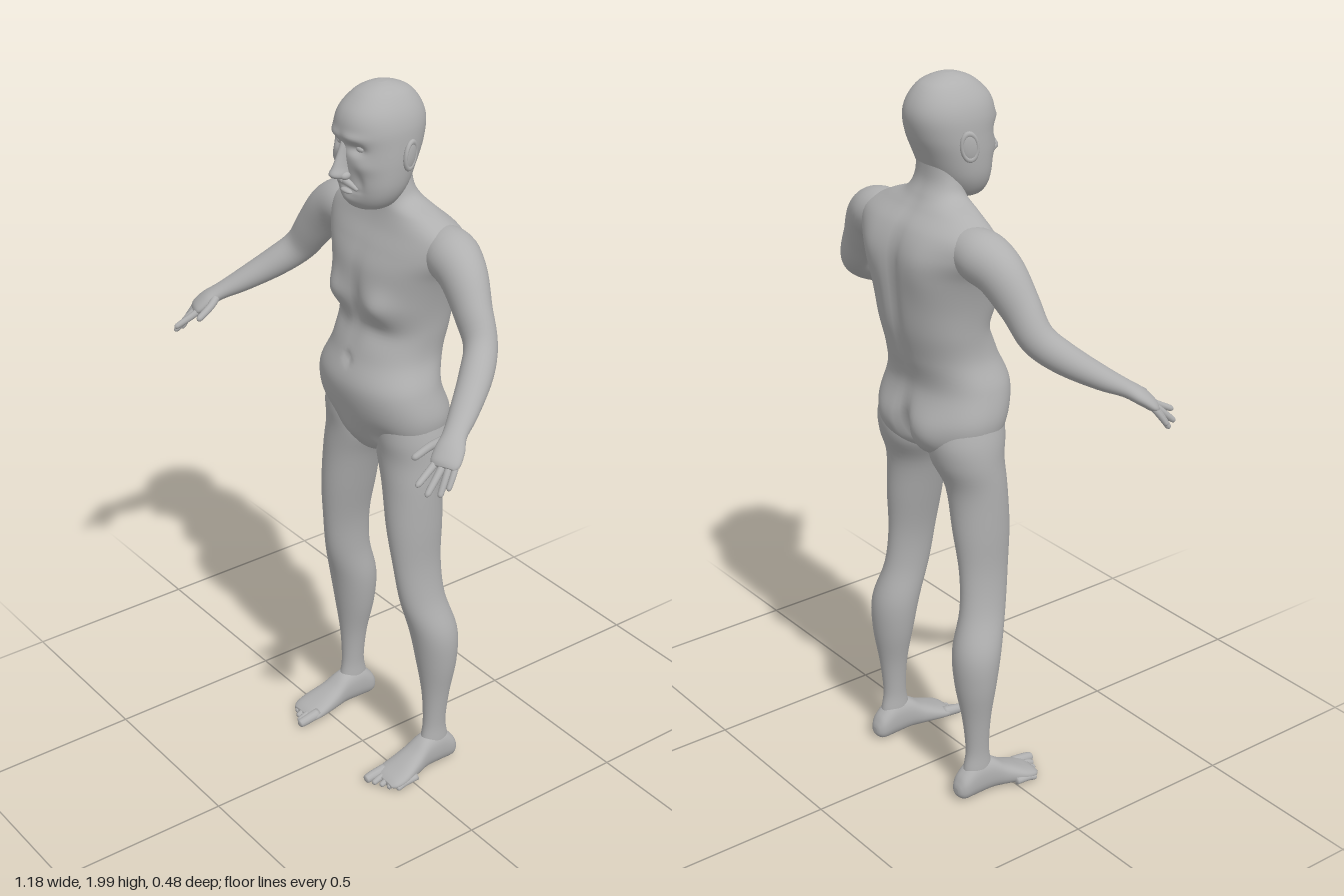
import * as THREE from 'three';

const skin = new THREE.MeshStandardMaterial({ color: 0xb0b0b0 });
skin.name = 'skin';

// Smooth interpolation through rows of numbers
function sample(rows, steps) {
  const out = [];
  const at = i => rows[Math.max(0, Math.min(rows.length - 1, i))];
  for (let k = 0; k <= (rows.length - 1) * steps; k++) {
    const i = Math.floor(k / steps), t = (k % steps) / steps;
    const [a, b, c, d] = [at(i - 1), at(i), at(i + 1), at(i + 2)];
    out.push(b.map((v, n) => v + 0.5 * t * (c[n] - a[n] + t * (2 * a[n] - 5 * v + 4 * c[n] - d[n]
      + t * (3 * (v - c[n]) + d[n] - a[n])))));
  }
  return out;
}

// Closed surface over rings of points, capped by a centre point at both ends
function surface(rings) {
  const n = rings[0].length;
  const cap = ring => {
    const c = ring.reduce((s, p) => s.add(p), new THREE.Vector3()).divideScalar(n);
    return ring.map(() => c);
  };
  const all = [cap(rings[0]), ...rings, cap(rings[rings.length - 1])];
  const index = [];
  for (let i = 0; i < all.length - 1; i++) for (let j = 0; j < n; j++) {
    const a = i * n + j, b = a + n, c = (i + 1) * n + (j + 1) % n, d = i * n + (j + 1) % n;
    if (i < all.length - 2) index.push(a, b, c);
    if (i > 0) index.push(a, c, d);
  }
  const g = new THREE.BufferGeometry().setFromPoints(all.flat());
  g.setIndex(index);
  g.computeVertexNormals();
  return g;
}

const power = (v, e) => Math.sign(v) * Math.abs(v) ** e;

// Sections [position, centre x, half width, high side, low side], along y (rising) or z (falling)
function loft(rows, { n = 32, steps = 5, e = 1, axis = 'y', shape = [] } = {}) {
  return surface(sample(rows, steps).map(([t, cx, w, hi, lo]) =>
    Array.from({ length: n }, (_, j) => {
      const a = j / n * Math.PI * 2, mid = (hi + lo) / 2;
      const x = cx + w * power(Math.cos(a), e), q = mid + (hi - lo) / 2 * power(Math.sin(a), e);
      if (axis === 'z') return new THREE.Vector3(x, q, t);
      // Soft relief: [x, y, spread x, spread y, height, front or back]
      let z = q;
      for (const [bx, by, sx, sy, h, side] of shape) {
        const facing = THREE.MathUtils.smoothstep((q - mid) * side, 0, 0.05);
        z += side * h * facing * Math.exp(-(((Math.abs(x) - bx) / sx) ** 2) - ((t - by) / sy) ** 2);
      }
      return new THREE.Vector3(x, t, z);
    })));
}

// Limb along points [x, y, z, half width, half thickness]
function limb(rows, n = 24, steps = 5) {
  const pts = sample(rows, steps), up = new THREE.Vector3(0, 1, 0);
  const pos = pts.map(p => new THREE.Vector3(p[0], p[1], p[2]));
  return surface(pts.map((p, i) => {
    const t = pos[Math.min(i + 1, pos.length - 1)].clone().sub(pos[Math.max(i - 1, 0)]).normalize();
    const u = t.clone().cross(up).normalize(), v = u.clone().cross(t);
    return Array.from({ length: n }, (_, j) => {
      const a = j / n * Math.PI * 2;
      return pos[i].clone().addScaledVector(u, p[3] * Math.cos(a)).addScaledVector(v, p[4] * Math.sin(a));
    });
  }));
}

// Finger or toe with a rounded tip
function digit(a, b, c, r) {
  const tip = (f, s) => [...b.map((v, i) => v + (c[i] - v) * f), r * s, r * s];
  return limb([[...a, r * 1.1, r * 1.1], [...b, r, r], tip(0.75, 0.88), tip(0.93, 0.65), tip(1, 0.2)], 12, 4);
}

function ball(x, y, z, rx, ry, rz) {
  return new THREE.SphereGeometry(1, 24, 16).scale(rx, ry, rz).translate(x, y, z);
}

function mirrored(geometry) {
  const g = geometry.clone().scale(-1, 1, 1), ix = g.index;
  for (let i = 0; i < ix.count; i += 3) {
    const b = ix.getX(i + 1);
    ix.setX(i + 1, ix.getX(i + 2));
    ix.setX(i + 2, b);
  }
  return g;
}

export function createModel() {
  const model = new THREE.Group();
  model.name = 'standingMan';
  const add = (name, g) => {
    const mesh = new THREE.Mesh(g, skin);
    mesh.name = name;
    model.add(mesh);
  };
  const pair = (name, g) => {
    add(name + 'Left', g);
    add(name + 'Right', mirrored(g));
  };

  // Torso and neck, with chest, navel, shoulder blades, spine and seat relief
  add('torso', loft([
    [0.985, 0, 0.03, -0.01, -0.11], [1.0, 0, 0.09, 0.005, -0.15], [1.04, 0, 0.175, 0.03, -0.19],
    [1.11, 0, 0.204, 0.058, -0.208], [1.2, 0, 0.19, 0.073, -0.187], [1.28, 0, 0.163, 0.045, -0.205],
    [1.36, 0, 0.165, 0.022, -0.225], [1.44, 0, 0.178, 0.03, -0.235], [1.52, 0, 0.202, 0.025, -0.238],
    [1.58, 0, 0.235, 0.003, -0.23], [1.63, 0, 0.235, -0.02, -0.208], [1.67, 0, 0.165, -0.032, -0.172],
    [1.7, 0, 0.095, -0.035, -0.15], [1.74, 0, 0.074, -0.035, -0.132], [1.8, 0, 0.068, -0.03, -0.13],
  ], {
    n: 80, steps: 7, e: 0.9, shape: [
      [0.09, 1.43, 0.05, 0.045, 0.022, 1], [0, 1.43, 0.022, 0.1, -0.008, 1], [0.08, 1.355, 0.06, 0.03, -0.008, 1],
      [0, 1.265, 0.012, 0.012, -0.01, 1], [0.12, 1.06, 0.05, 0.04, -0.012, 1], [0, 1.05, 0.03, 0.035, 0.008, 1],
      [0.1, 1.55, 0.06, 0.08, 0.012, -1], [0, 1.46, 0.022, 0.16, -0.014, -1],
      [0.09, 1.07, 0.06, 0.06, 0.016, -1], [0, 1.05, 0.022, 0.08, -0.04, -1],
    ],
  }));

  // Head with brow, eye sockets, cheeks, mouth and chin
  add('head', loft([
    [1.682, 0, 0.035, 0.015, -0.05], [1.69, 0, 0.06, 0.032, -0.075], [1.715, 0, 0.082, 0.045, -0.095],
    [1.75, 0, 0.096, 0.052, -0.117], [1.8, 0, 0.102, 0.057, -0.14], [1.85, 0, 0.103, 0.062, -0.162],
    [1.9, 0, 0.1, 0.066, -0.172], [1.94, 0, 0.087, 0.053, -0.162], [1.975, 0, 0.062, 0.018, -0.135],
    [1.992, 0, 0.036, -0.015, -0.1], [1.999, 0, 0.012, -0.045, -0.07],
  ], {
    n: 96, steps: 10, e: 0.92, shape: [
      [0.04, 1.853, 0.022, 0.014, -0.017, 1], [0.035, 1.882, 0.035, 0.012, 0.007, 1],
      [0.06, 1.81, 0.025, 0.02, 0.006, 1], [0.045, 1.765, 0.012, 0.025, -0.006, 1],
      [0, 1.742, 0.03, 0.006, -0.008, 1], [0, 1.712, 0.03, 0.016, 0.008, 1],
    ],
  }));
  add('nose', loft([
    [1.772, 0, 0.008, 0.075, 0.04], [1.777, 0, 0.018, 0.094, 0.04], [1.787, 0, 0.02, 0.102, 0.04],
    [1.805, 0, 0.015, 0.092, 0.04], [1.835, 0, 0.011, 0.078, 0.04], [1.87, 0, 0.009, 0.064, 0.04],
  ], { n: 20 }));
  add('lowerLip', ball(0, 1.734, 0.05, 0.022, 0.006, 0.01));
  pair('nostril', ball(0.017, 1.782, 0.066, 0.01, 0.01, 0.014));
  pair('moustache', limb([[0, 1.764, 0.058, 0.009, 0.009], [0.018, 1.76, 0.055, 0.009, 0.009],
    [0.038, 1.745, 0.045, 0.004, 0.004]], 12));
  pair('eye', ball(0.04, 1.853, 0.036, 0.015, 0.009, 0.01));

  // Ears: a flat shell with a raised rim
  const tilt = g => g.rotateY(Math.PI / 2 + 0.3).rotateX(-0.15).translate(0.106, 1.833, -0.068);
  pair('ear', tilt(ball(0, 0, 0, 0.022, 0.036, 0.007)));
  pair('earRim', tilt(new THREE.TorusGeometry(0.026, 0.006, 10, 28).scale(0.8, 1.3, 1)));

  // Arms run from inside the shoulder to the knuckles
  pair('arm', limb([
    [0.13, 1.6, -0.13, 0.05, 0.05], [0.21, 1.592, -0.117, 0.07, 0.068], [0.275, 1.562, -0.105, 0.062, 0.065],
    [0.335, 1.49, -0.09, 0.049, 0.055], [0.385, 1.42, -0.076, 0.043, 0.046], [0.43, 1.368, -0.026, 0.043, 0.041],
    [0.48, 1.315, 0.05, 0.037, 0.031], [0.513, 1.283, 0.105, 0.031, 0.022], [0.533, 1.262, 0.135, 0.038, 0.02],
    [0.547, 1.24, 0.16, 0.039, 0.016], [0.552, 1.23, 0.17, 0.03, 0.009],
  ], 32));
  const fingers = [
    ['thumb', [0.51, 1.28, 0.115], [0.488, 1.26, 0.155], [0.477, 1.234, 0.207], 0.0105],
    ['indexFinger', [0.522, 1.25, 0.15], [0.528, 1.228, 0.185], [0.54, 1.198, 0.243], 0.0095],
    ['middleFinger', [0.54, 1.247, 0.152], [0.55, 1.22, 0.182], [0.562, 1.176, 0.23], 0.0095],
    ['ringFinger', [0.556, 1.245, 0.15], [0.566, 1.215, 0.172], [0.576, 1.17, 0.2], 0.009],
    ['littleFinger', [0.566, 1.247, 0.14], [0.577, 1.222, 0.158], [0.586, 1.187, 0.182], 0.008],
  ];
  for (const [name, ...path] of fingers) pair(name, digit(...path));

  // Legs from ankle to hip
  pair('leg', loft([
    [0.05, 0.194, 0.026, -0.065, -0.15], [0.09, 0.194, 0.029, -0.064, -0.152], [0.15, 0.194, 0.027, -0.073, -0.143],
    [0.25, 0.194, 0.037, -0.07, -0.152], [0.36, 0.191, 0.058, -0.055, -0.17], [0.46, 0.186, 0.065, -0.036, -0.172],
    [0.57, 0.172, 0.05, -0.006, -0.143], [0.68, 0.161, 0.049, 0.01, -0.136], [0.8, 0.148, 0.065, 0.02, -0.144],
    [0.92, 0.132, 0.083, 0.016, -0.148], [1.0, 0.114, 0.101, 0.014, -0.178], [1.06, 0.114, 0.096, 0.02, -0.185],
    [1.12, 0.112, 0.085, 0.02, -0.17],
  ], { n: 40 }));

  // Feet from the ball back to the heel
  pair('foot', loft([
    [0.075, 0.197, 0.038, 0.026, 0.012], [0.06, 0.198, 0.05, 0.036, 0.007], [0.025, 0.199, 0.052, 0.052, 0.006],
    [-0.025, 0.196, 0.044, 0.078, 0.008], [-0.07, 0.194, 0.036, 0.108, 0.01], [-0.12, 0.193, 0.034, 0.115, 0.008],
    [-0.16, 0.193, 0.03, 0.085, 0.008], [-0.176, 0.193, 0.02, 0.06, 0.018], [-0.181, 0.193, 0.008, 0.045, 0.028],
  ], { axis: 'z', e: 0.85 }));
  for (let i = 0; i < 5; i++) {
    const x = 0.162 + i * 0.0205, end = 0.112 - 0.011 * i - (i > 3 ? 0.006 : 0), r = i ? 0.0095 : 0.0145;
    pair('toe' + (i + 1), digit([x + 0.002, 0.026, end - 0.07], [x, 0.021, end - 0.03], [x, r + 0.002, end], r));
  }
  return model;
}
